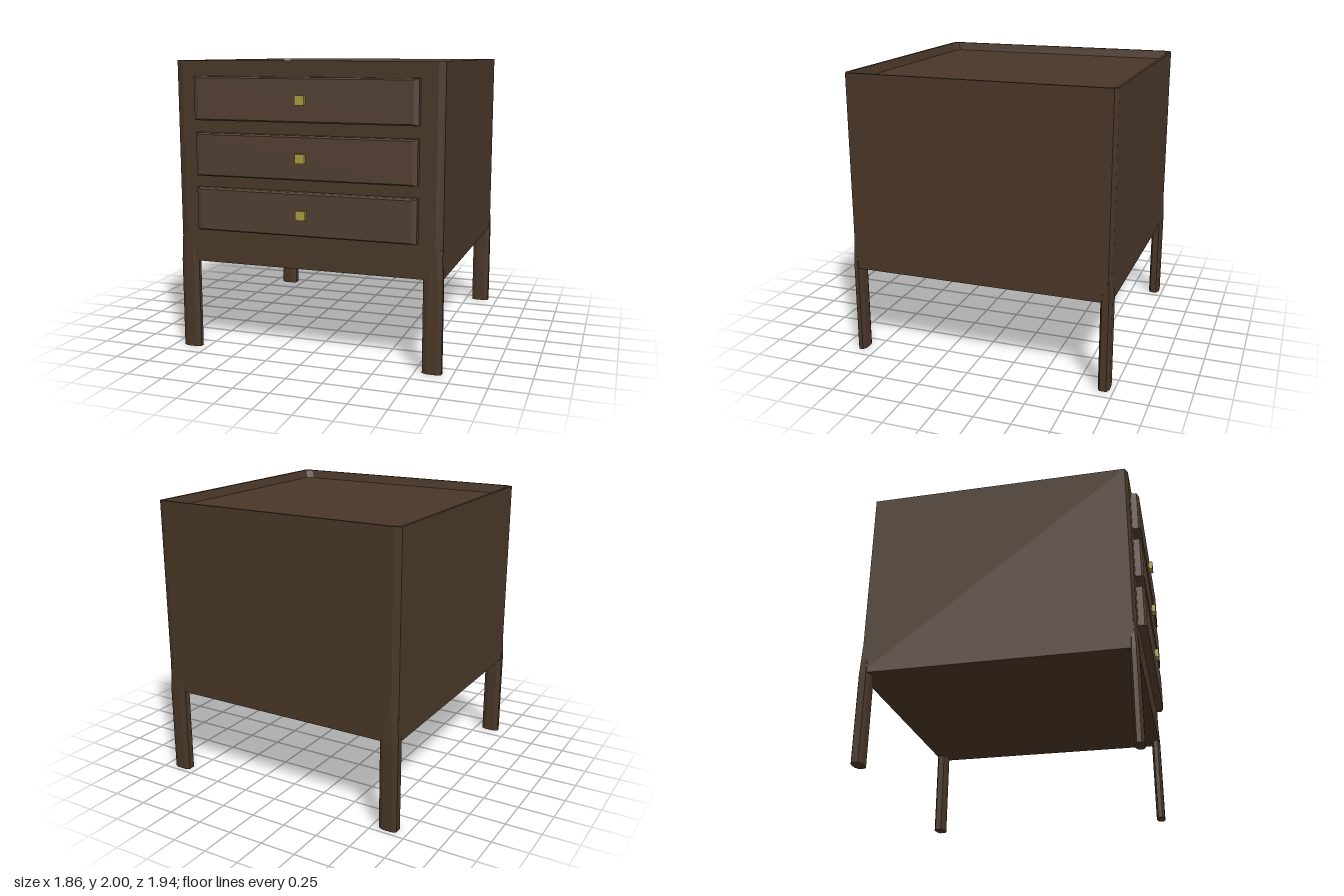
import * as THREE from 'three';

const paint = (color) => new THREE.MeshStandardMaterial({ color, flatShading: true });

// Rectangle with clipped corners at height y: half sizes hx, hz and clips cx, cz
const ring = (y, hx, hz, cx, cz) => [
  [hx, hz - cz], [hx, cz - hz], [hx - cx, -hz], [cx - hx, -hz],
  [-hx, cz - hz], [-hx, hz - cz], [cx - hx, hz], [hx - cx, hz],
].map(([x, z]) => [x, y, z]);

const rect = (y, hx, hz) => [[hx, y, hz], [hx, y, -hz], [-hx, y, -hz], [-hx, y, hz]];

// Skin a list of rings and close both ends, with flat faces
function loft(rings) {
  const out = [];
  const tri = (a, b, c) => out.push(...a, ...b, ...c);
  const n = rings[0].length;
  for (let k = 0; k < rings.length - 1; k++) {
    const lo = rings[k], hi = rings[k + 1];
    for (let i = 0; i < n; i++) {
      const j = (i + 1) % n;
      tri(lo[i], lo[j], hi[j]);
      tri(lo[i], hi[j], hi[i]);
    }
  }
  const first = rings[0], last = rings[rings.length - 1];
  for (let i = 1; i < n - 1; i++) {
    tri(first[0], first[i + 1], first[i]);
    tri(last[0], last[i], last[i + 1]);
  }
  const geo = new THREE.BufferGeometry();
  geo.setAttribute('position', new THREE.Float32BufferAttribute(out, 3));
  geo.computeVertexNormals();
  return geo;
}

export function createModel() {
  const model = new THREE.Group();
  model.name = 'nightstand';
  const wood = paint(0x4a3728);
  const drawerWood = paint(0x523f31);
  const brass = paint(0xa89a3c);

  const add = (name, geo, mat, x, y, z) => {
    const mesh = new THREE.Mesh(geo, mat);
    mesh.name = name;
    mesh.position.set(x, y, z);
    model.add(mesh);
  };

  // Cabinet with a raised rim around a sunken top
  add('cabinet', loft([
    ring(0.625, 0.925, 0.925, 0.045, 0.02),
    ring(2, 0.925, 0.925, 0.045, 0.02),
    ring(2, 0.905, 0.905, 0.05, 0.022),
    ring(1.94, 0.89, 0.888, 0.06, 0.025),
  ]), wood, 0, 0, -0.04);

  // Legs, narrowing where they merge into the cabinet corners
  for (const side of [1, -1]) {
    for (const [end, z, hz] of [['front', 0.86, 0.031], ['back', -0.931, 0.039]]) {
      add(`${end}${side > 0 ? 'Left' : 'Right'}Leg`, loft([
        ring(0, 0.065, hz, 0.032, 0.016),
        ring(0.62, 0.065, hz, 0.032, 0.016),
        ring(0.82, 0.056, hz - 0.008, 0.03, 0.014),
      ]), wood, side * 0.865, 0, z);
    }
  }

  // Drawer fronts with bevelled edges, each with a small square knob
  [1.75, 1.375, 1.003].forEach((y, i) => {
    const hx = i === 0 ? 0.772 : 0.767;
    const front = loft([
      rect(0, hx, 0.146),
      rect(0.05, hx, 0.146),
      rect(0.065, hx - 0.032, 0.136),
    ]).rotateX(Math.PI / 2);
    add(`drawer${i + 1}`, front, drawerWood, 0, y, 0.877);

    const knob = loft([
      rect(0, 0.026, 0.026),
      rect(0.012, 0.033, 0.031),
      rect(0.036, 0.033, 0.031),
    ]).rotateX(Math.PI / 2);
    add(`knob${i + 1}`, knob, brass, -0.003, y, 0.935);
  });

  return model;
}
